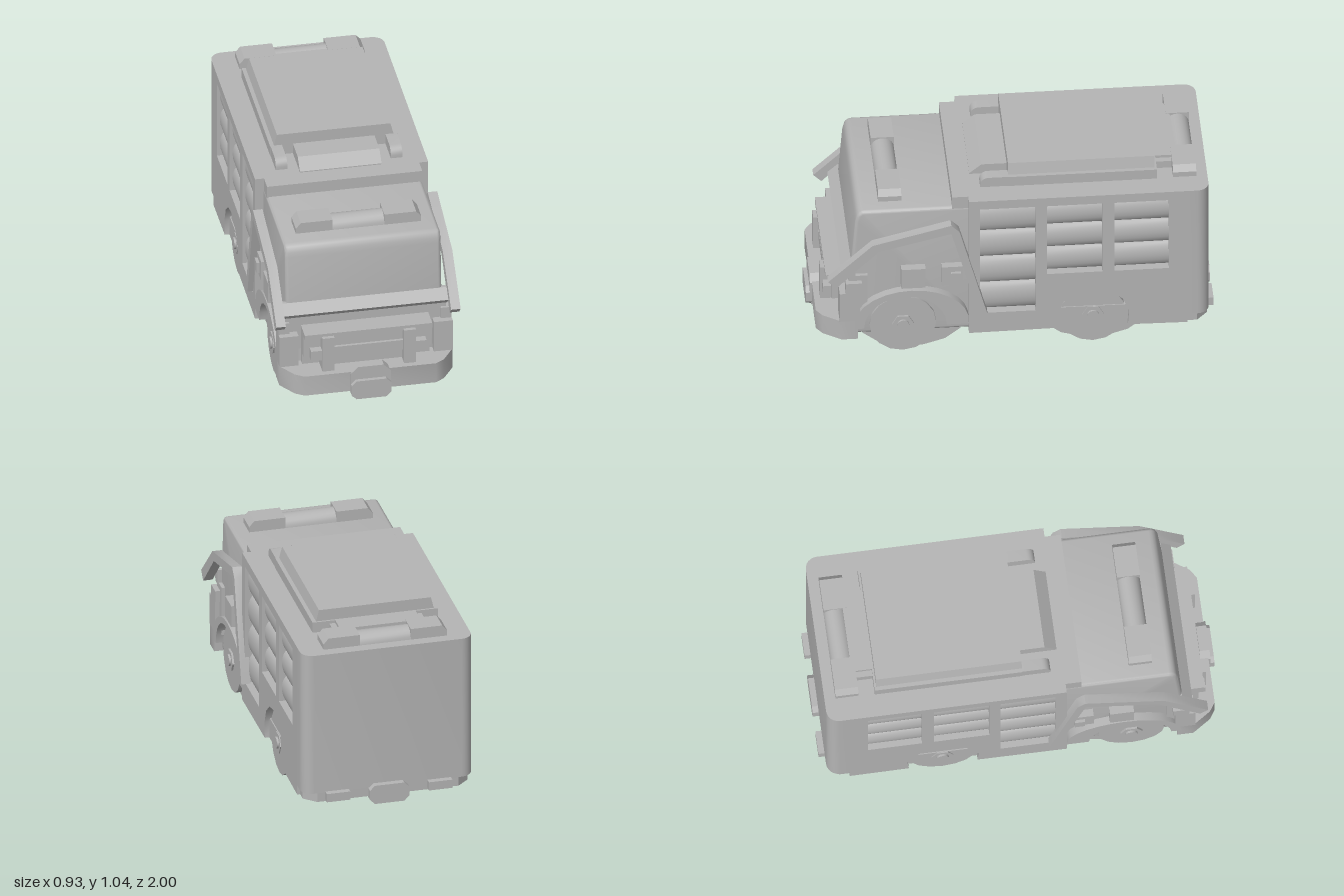
import * as THREE from 'three';
import { toCreasedNormals } from 'three/addons/utils/BufferGeometryUtils.js';

const paint = new THREE.MeshStandardMaterial({ color: 0xb4b4b4 });
paint.name = 'grey';

export function createModel() {
  const truck = new THREE.Group();
  truck.name = 'rescueTruck';

  const add = (name, geo) => {
    const mesh = new THREE.Mesh(toCreasedNormals(geo, 0.6), paint);
    mesh.name = name;
    truck.add(mesh);
    return mesh;
  };
  // Box from its limits
  const box = (name, x0, x1, y0, y1, z0, z1) => add(name,
    new THREE.BoxGeometry(x1 - x0, y1 - y0, z1 - z0)
      .translate((x0 + x1) / 2, (y0 + y1) / 2, (z0 + z1) / 2));
  const toShape = (pts, holes = []) => {
    const s = new THREE.Shape(pts.map(p => new THREE.Vector2(...p)));
    holes.forEach(h => s.holes.push(new THREE.Path(h.map(p => new THREE.Vector2(...p)))));
    return s;
  };
  // Side outline of (z, y) points, pulled from x0 to x1
  const side = (name, pts, x0, x1, { holes = [], bevel = 0 } = {}) => add(name,
    new THREE.ExtrudeGeometry(toShape(pts, holes), {
      depth: x1 - x0 - 2 * bevel, bevelEnabled: bevel > 0, bevelSize: bevel,
      bevelThickness: bevel, bevelOffset: -bevel, bevelSegments: 3,
    }).rotateY(-Math.PI / 2).translate(x1 - bevel, 0, 0));
  // Plan outline of (x, z) points, pulled from y0 to y1
  const plan = (name, pts, y0, y1) => add(name,
    new THREE.ExtrudeGeometry(toShape(pts), { depth: y1 - y0, bevelEnabled: false })
      .rotateX(Math.PI / 2).translate(0, y1, 0));
  // Front outline of (x, y) points, pulled from z0 to z1
  const front = (name, pts, z0, z1) => add(name,
    new THREE.ExtrudeGeometry(toShape(pts), { depth: z1 - z0, bevelEnabled: false })
      .translate(0, 0, z0));
  // The same side part on both sides
  const sides = (name, pts, x0, x1, opt) => {
    side(name + 'Left', pts, x0, x1, opt);
    side(name + 'Right', pts, -x1, -x0, opt);
  };
  const boxes = (name, x0, x1, y0, y1, z0, z1) => {
    box(name + 'Left', x0, x1, y0, y1, z0, z1);
    box(name + 'Right', -x1, -x0, y0, y1, z0, z1);
  };
  const rect = (z0, z1, y0, y1) => [[z0, y0], [z1, y0], [z1, y1], [z0, y1]];
  const arc = (cz, cy, rz, ry, a0, a1, n) => Array.from({ length: n + 1 }, (_, i) => {
    const a = a0 + (a1 - a0) * i / n;
    return [cz + rz * Math.cos(a), cy + ry * Math.sin(a)];
  });

  // Rear body: inner core, rounded tail and roof deck
  box('bodyCore', -0.375, 0.375, 0.12, 0.9, -0.86, 0.22);
  const rearCorner = arc(0.375, -0.91, 0.06, 0.06, 0, -Math.PI / 2, 6);
  plan('bodyTail', [[0.435, -0.86], ...rearCorner,
    ...rearCorner.map(([x, z]) => [-x, z]).reverse(), [-0.435, -0.86]], 0.17, 0.93);
  box('roofDeck', -0.435, 0.435, 0.88, 0.93, -0.86, 0.22);
  box('roofLip', -0.39, 0.39, 0.86, 0.93, 0.22, 0.3);

  // Body sides with a wheel arch and three locker openings
  const lockers = [[-0.11, 0.165, 0.24], [-0.44, -0.165, 0.46], [-0.77, -0.5, 0.46]];
  sides('bodySide', [[0.22, 0.12], [0.22, 0.9], [-0.86, 0.9], [-0.86, 0.12],
    ...arc(-0.395, 0.18, 0.18, 0.18, Math.PI * 1.1, -Math.PI * 0.1, 8)], 0.375, 0.435,
    { holes: lockers.map(([a, b, y]) => rect(a, b, y, 0.88)) });

  // Bulging locker shutters
  lockers.forEach(([z0, z1, y0]) => {
    const n = Math.round((0.88 - y0) / 0.155), h = (0.88 - y0) / n;
    const pts = [[0.36, y0]];
    for (let i = 0; i < n; i++)
      pts.push(...arc(0.385, y0 + h * (i + 0.5), 0.035, h / 2, -Math.PI / 2, Math.PI / 2, 8));
    pts.push([0.36, 0.88]);
    front('shutterLeft', pts, z0, z1);
    front('shutterRight', pts.map(([x, y]) => [-x, y]), z0, z1);
  });

  // Cab with leaning windscreen
  side('cab', [[0.18, 0.12], [0.82, 0.12], [0.815, 0.3], [0.805, 0.5], [0.78, 0.81],
    ...arc(0.735, 0.825, 0.04, 0.045, 0.2, Math.PI / 2, 4), [0.18, 0.87]],
    -0.392, 0.392, { bevel: 0.018 });
  box('cabNose', -0.41, 0.41, 0.23, 0.49, 0.72, 0.815);
  side('windscreenSill', [[0.78, 0.48], [0.815, 0.48], [0.85, 0.515], [0.8, 0.56], [0.78, 0.56]],
    -0.415, 0.415);

  // Angled guard bars beside the cab
  sides('guardBar', [[0.92, 0.5], [0.7, 0.71], [0.31, 0.81], [0.27, 0.77], [0.13, 0.25],
    [0.17, 0.25], [0.31, 0.76], [0.67, 0.67], [0.88, 0.46]], 0.415, 0.463);

  // Front wheel arches
  sides('frontArch', [...arc(0.505, 0.2, 0.285, 0.2, -0.1, Math.PI + 0.1, 14),
    ...arc(0.535, 0.18, 0.205, 0.185, Math.PI, 0, 12)], 0.36, 0.435);

  // Door fittings
  boxes('doorStep', 0.38, 0.435, 0.415, 0.53, 0.435, 0.555);
  boxes('doorHandle', 0.38, 0.43, 0.42, 0.53, 0.25, 0.355);
  boxes('doorCatch', 0.42, 0.445, 0.44, 0.5, 0.26, 0.31);
  boxes('noseCorner', 0.34, 0.435, 0.23, 0.4, 0.76, 0.86);
  boxes('noseCornerCap', 0.38, 0.435, 0.4, 0.46, 0.75, 0.83);

  // Grille, lamps and their cage
  box('grilleTop', -0.32, 0.32, 0.41, 0.435, 0.8, 0.92);
  box('grilleBack', -0.32, 0.32, 0.23, 0.41, 0.8, 0.85);
  for (const [y0, y1, z] of [[0.35, 0.41, 0.9], [0.295, 0.35, 0.915], [0.23, 0.285, 0.88]])
    box('grilleBar', -0.18, 0.18, y0, y1, 0.82, z);
  boxes('grillePost', 0.175, 0.235, 0.21, 0.42, 0.82, 0.94);
  boxes('headlamp', 0.23, 0.29, 0.29, 0.345, 0.82, 0.93);
  boxes('headlampSurround', 0.235, 0.32, 0.29, 0.41, 0.82, 0.89);

  // Chassis, bumpers and winch
  box('chassis', -0.41, 0.41, 0.12, 0.23, -0.8, 0.2);
  plan('frontBumper', [[-0.435, 0.77], [0.435, 0.77], [0.435, 0.85], [0.375, 0.94],
    [0.33, 0.97], [-0.33, 0.97], [-0.375, 0.94], [-0.435, 0.85]], 0.12, 0.23);
  plan('rearStep', [[0.42, -0.7], [0.42, -0.91], [0.36, -0.965], [-0.36, -0.965],
    [-0.42, -0.91], [-0.42, -0.7]], 0.12, 0.175);
  const octagon = (w, y0, y1, c) => [[-w + c, y0], [w - c, y0], [w, y0 + c], [w, y1 - c],
    [w - c, y1], [-w + c, y1], [-w, y1 - c], [-w, y0 + c]];
  front('winchPlate', octagon(0.1, 0.075, 0.26, 0.035), 0.93, 0.98);
  front('winch', octagon(0.1, 0.087, 0.19, 0.025), 0.96, 1);
  front('rearHitch', octagon(0.1, 0.09, 0.19, 0.025), -1, -0.94);
  boxes('rearFoot', 0.2, 0.32, 0.13, 0.175, -1, -0.93);
  for (const z of [0.96, 0.9, -0.75, -0.81, -0.87])
    box('underRib', -0.09, 0.09, 0.085, 0.13, z - 0.012, z + 0.012);

  // Wheels with wide rounded inner tyres and six-sided hubs
  const tyreProfile = [[0, 0.145], [0.7, 0.145], [0.86, 0.16], [1, 0.215], [1, 0.33], [0.93, 0.375], [0, 0.375]]
    .map(p => new THREE.Vector2(...p));
  for (const s of [1, -1]) {
    for (const [tz, wz] of [[0.5, 0.545], [-0.405, -0.395]]) {
      const tyre = new THREE.LatheGeometry(tyreProfile, 14).rotateZ(-Math.PI / 2);
      tyre.scale(1, 0.175, 0.285);
      if (s < 0) tyre.rotateY(Math.PI);
      add('innerTyre', tyre.translate(0, 0.178, tz));
      const disc = (name, r, x0, x1, n) => add(name, new THREE.CylinderGeometry(r, r, x1 - x0, n)
        .rotateZ(Math.PI / 2).translate(s * (x0 + x1) / 2, 0.18, wz));
      disc('wheel', 0.165, 0.3, 0.405, 16);
      disc('hub', 0.055, 0.4, 0.415, 6);
      disc('hubBolt', 0.03, 0.41, 0.425, 12);
    }
  }

  // Roof platform, raised cover and front hatch
  side('roofPlatform', [[-0.82, 0.92], [0.2, 0.92], [0.2, 0.935], [0.14, 0.985], [-0.82, 0.985]],
    -0.205, 0.205);
  box('coverBase', -0.32, 0.32, 0.92, 0.985, -0.72, 0.015);
  front('roofCover', [[-0.3, 0.985], [0.3, 0.985], [0.285, 1.045], [-0.285, 1.045]], -0.71, 0.015);
  const skid = [[0, 0.92], [0.155, 0.92], ...arc(0.115, 0.945, 0.04, 0.04, 0, Math.PI / 2, 5), [0, 0.985]];
  sides('roofSkid', skid, 0.26, 0.318);
  box('coverTail', -0.235, 0.235, 0.92, 0.97, -0.82, -0.71);

  // Light bars with a rounded centre lens
  const lightBar = (y, z0, z1) => {
    const mid = (z0 + z1) / 2, half = (z1 - z0) / 2;
    for (const s of [1, -1]) {
      const pts = [[0.13, y], [0.315, y], [0.315, y + 0.03], [0.29, y + 0.06], [0.13, y + 0.06]];
      front('lightBarEnd', pts.map(([x, h]) => [s * x, h]), z0, z1);
    }
    side('lightBarLens', arc(mid, y, half, 0.055, 0, Math.PI, 10), -0.13, 0.13);
  };
  lightBar(0.868, 0.545, 0.66);
  lightBar(0.928, -0.915, -0.8);

  return truck;
}
